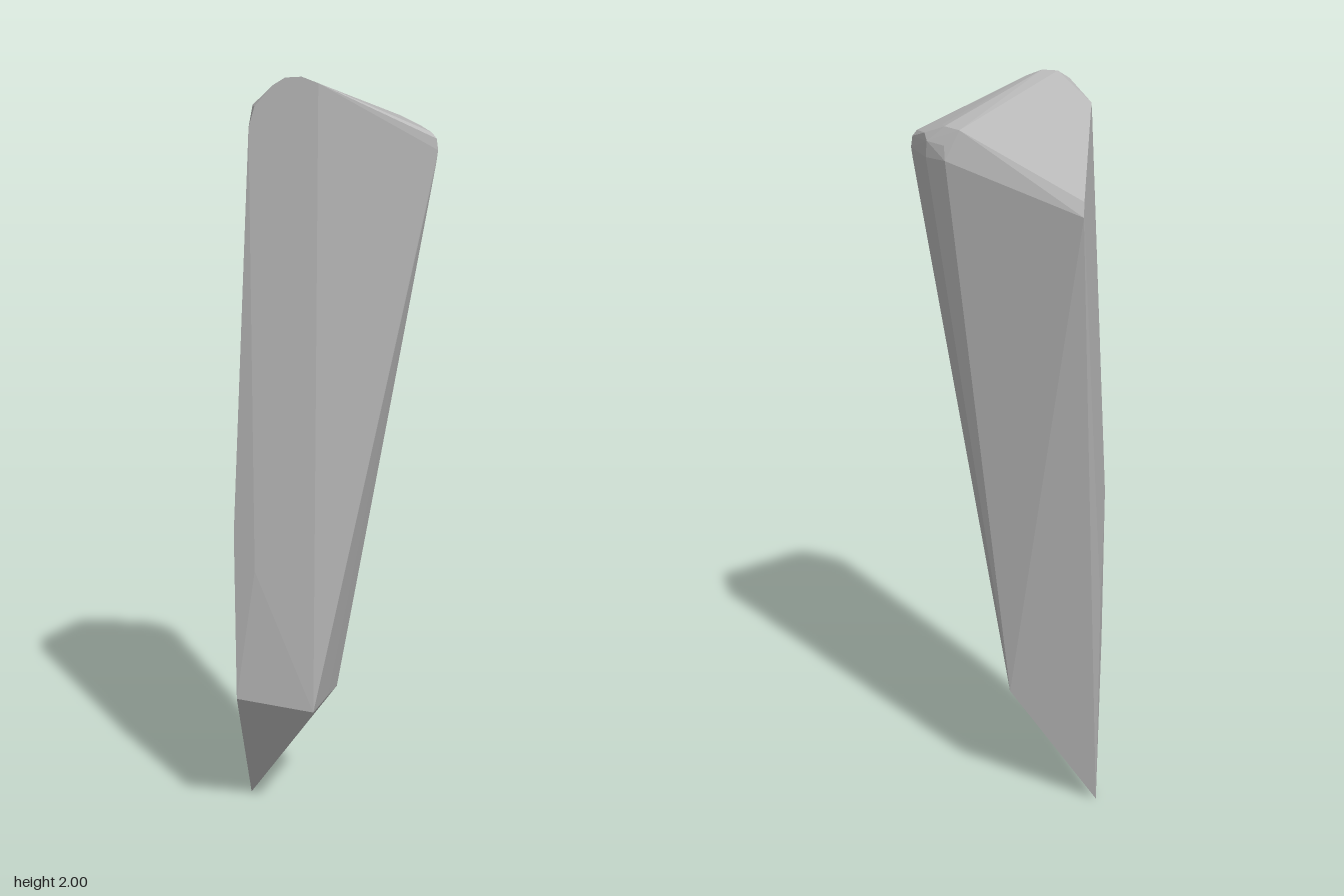
import * as THREE from 'three';
import { ConvexGeometry } from 'three/addons/geometries/ConvexGeometry.js';

export function createModel() {
  const stone = new THREE.MeshStandardMaterial({ color: 0xb4b4b4 });
  stone.name = 'grey stone';
  stone.flatShading = true;

  // Pointed foot and the ring of corners above it
  const foot = [
    [-0.255, 0, -0.045],
    [-0.255, 0.385, 0.188], [-0.05, 0.355, 0.19],
    [-0.025, 0.35, 0.06], [-0.01, 0.335, -0.045],
  ];
  // Where the upright left side starts to lean in
  const waist = [
    [-0.255, 0.85, 0.19], [-0.255, 0.6, -0.02], [-0.2, 0.75, 0.202],
  ];
  // Rounded outline of the front face at the crown
  const frontCrown = [
    [-0.2, 1.88, 0.202], [-0.185, 1.93, 0.202], [-0.14, 1.98, 0.202],
    [-0.11, 1.998, 0.202], [-0.07, 2, 0.202], [-0.03, 1.985, 0.202],
  ];
  // Sloping top face and its worn edges
  const top = [
    [-0.2, 1.93, 0.13], [-0.2, 1.745, -0.19], [-0.2, 1.71, -0.205],
    [0.11, 1.893, -0.09], [0.15, 1.897, -0.06], [0.16, 1.895, -0.02],
    [0.145, 1.82, -0.102], [0.148, 1.855, -0.09],
    [0.195, 1.86, -0.055], [0.198, 1.82, -0.055], [0.205, 1.874, -0.02],
    [0.238, 1.863, 0.08], [0.25, 1.848, 0.08], [0.254, 1.82, 0.08], [0.25, 1.79, 0.08],
  ];

  const points = [...foot, ...waist, ...frontCrown, ...top].map((p) => new THREE.Vector3(...p));
  const shard = new THREE.Mesh(new ConvexGeometry(points), stone);
  shard.name = 'stoneShard';

  const group = new THREE.Group();
  group.name = 'shard';
  group.add(shard);
  return group;
}
